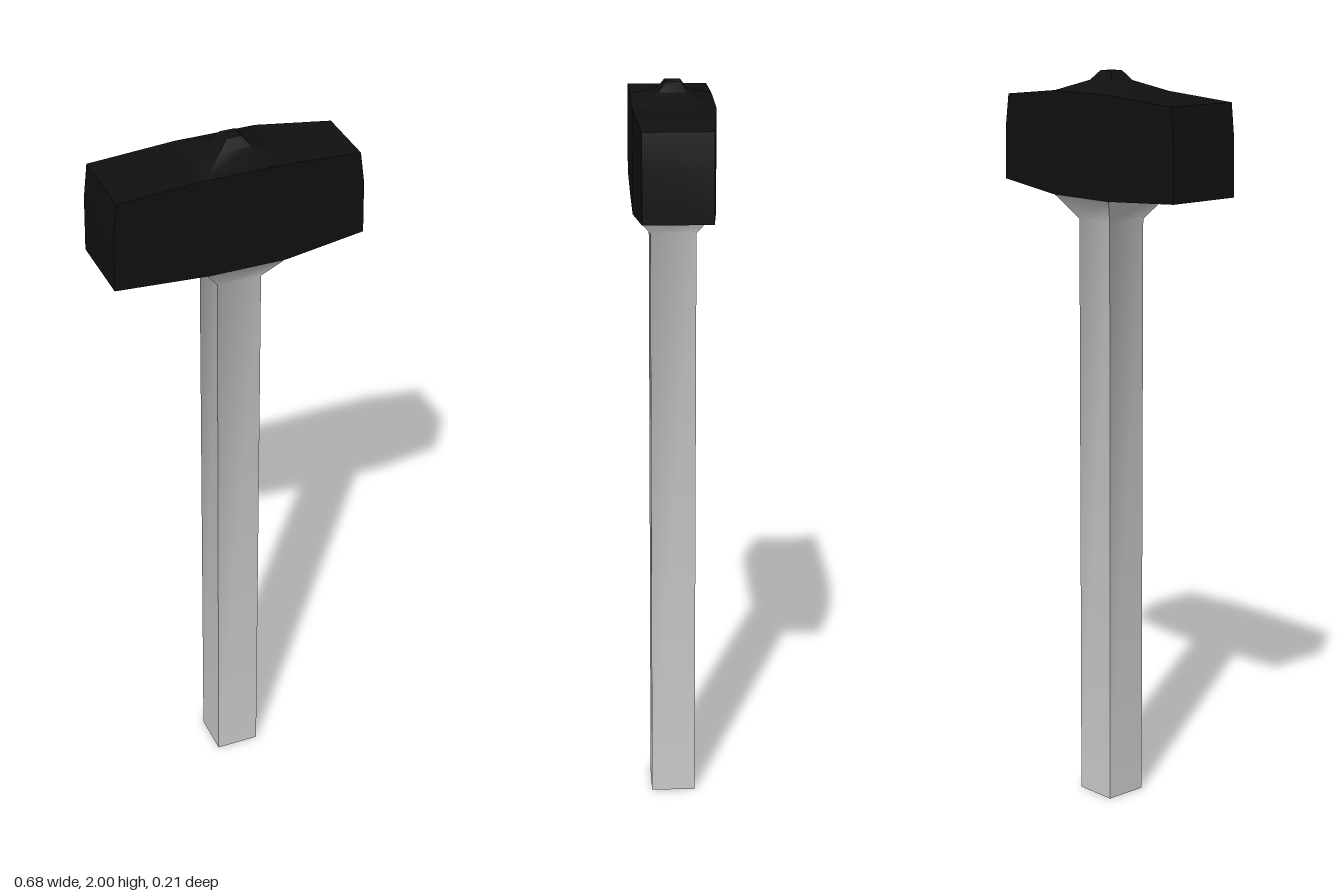
import * as THREE from 'three';
import { toCreasedNormals } from 'three/addons/utils/BufferGeometryUtils.js';

// Skins a row of matching cross-sections (counter-clockwise seen from the far end) and caps both ends
function loft(sections) {
  const pos = [];
  const quad = (a, b, c, d) => {
    for (const p of [a, b, c, a, c, d]) pos.push(...p);
  };
  const n = sections[0].length;
  for (let s = 0; s < sections.length - 1; s++) {
    const a = sections[s], b = sections[s + 1];
    for (let i = 0; i < n; i++) {
      const j = (i + 1) % n;
      quad(a[i], a[j], b[j], b[i]);
    }
  }
  const first = sections[0], last = sections[sections.length - 1];
  for (let i = 0; i < n / 2 - 1; i++) {
    const j = n - 1 - i;
    quad(last[i], last[i + 1], last[j - 1], last[j]);
    quad(first[j], first[j - 1], first[i + 1], first[i]);
  }
  const geometry = new THREE.BufferGeometry();
  geometry.setAttribute('position', new THREE.Float32BufferAttribute(pos, 3));
  return toCreasedNormals(geometry, 0.9);
}

// Rectangular section across the handle axis
const CENTRE_X = 0.011;
const rectangle = ([y, hx, hz = hx]) => [
  [CENTRE_X + hx, y, hz], [CENTRE_X + hx, y, -hz],
  [CENTRE_X - hx, y, -hz], [CENTRE_X - hx, y, hz],
];

// Section across the head: bottom, middle and top rows, each given as [x, y]
const headSection = ({ rows, hz }) => [
  ...rows.map(([x, y]) => [x, y, -hz]),
  ...rows.slice().reverse().map(([x, y]) => [x, y, hz]),
];

export function createModel() {
  const group = new THREE.Group();
  const grey = new THREE.MeshStandardMaterial({ color: 0xcccccc });
  const black = new THREE.MeshStandardMaterial({ color: 0x101010 });
  const add = (name, geometry, material) => {
    const mesh = new THREE.Mesh(geometry, material);
    mesh.name = name;
    group.add(mesh);
  };

  // Square shaft flaring out under the head
  add('handle', loft([[0, 0.06], [1.61, 0.06], [1.675, 0.107]].map(rectangle)), grey);

  // Block with a full-width left-hand side and a tapered striking end
  add('head', loft([
    { rows: [[-0.34, 1.69], [-0.338, 1.84], [-0.328, 1.932]], hz: 0.107 },
    { rows: [[-0.096, 1.674], [-0.096, 1.81], [-0.096, 1.947]], hz: 0.107 },
    { rows: [[0.122, 1.674], [0.122, 1.81], [0.122, 1.947]], hz: 0.107 },
    { rows: [[0.34, 1.696], [0.337, 1.84], [0.325, 1.926]], hz: 0.09 },
  ].map(headSection)), black);

  // Stepped pyramid knob on top of the head
  add('topKnob', loft([[1.947, 0.107], [1.975, 0.042, 0.037], [2, 0.02]].map(rectangle)), black);

  return group;
}
